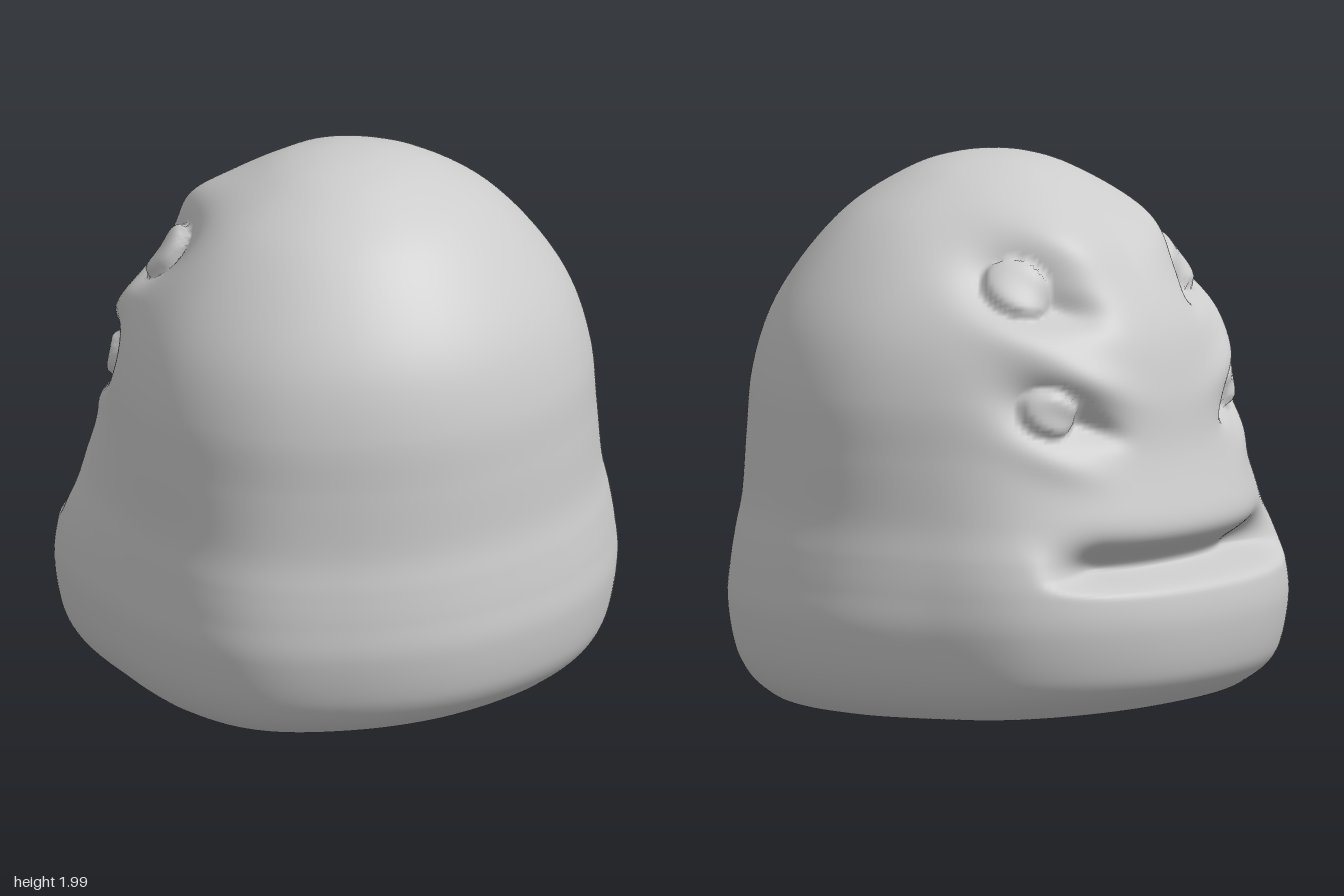
import * as THREE from 'three';

const AXIS_Z = 0.08; // vertical axis through the top of the dome

// Two ring outlines: radii every 22.5 degrees from the front (+z) to the face (-z)
const SKULL = [0.85, 0.86, 0.88, 0.91, 0.91, 0.88, 0.87, 0.88, 0.86];
const JAW = [0.92, 0.938, 0.97, 1.015, 0.985, 0.98, 1.07, 1.09, 1.08];

// Profile from base to crown: height, ring size, blend from skull to jaw outline
const PROFILE = [
  [0.035, 0, 1], [0.02, 0.4, 1], [0.01, 0.75, 1], [0.06, 0.885, 1], [0.18, 0.965, 1], [0.36, 1, 1],
  [0.5, 0.99, 1], [0.62, 0.985, 0.85], [0.76, 0.985, 0.55], [0.98, 1.01, 0.12], [1.2, 1, 0],
  [1.42, 0.925, 0], [1.62, 0.785, 0], [1.8, 0.595, 0], [1.93, 0.36, 0], [1.985, 0.18, 0], [2, 0, 0],
];

// Eyes: angle away from the face's centre line, height, size
const EYES = [
  { phi: 0.76, y: 1.61, size: 1.1 },
  { phi: 0.65, y: 1.16, size: 0.95 },
];

const { smoothstep, lerp } = THREE.MathUtils;
const bell = (d, w) => Math.exp(-(d * d) / (w * w));

// Smooth curve through values, at(j) giving the value at whole number j
function spline(at, s, last) {
  const i = Math.min(Math.floor(s), last - 1);
  const t = s - i;
  const a = at(i - 1), b = at(i), c = at(i + 1), d = at(i + 2);
  return 0.5 * (2 * b + (c - a) * t + (2 * a - 5 * b + 4 * c - d) * t * t + (3 * b - a - 3 * c + d) * t * t * t);
}

// One profile column; past a pole the ring size changes sign
function profile(k, s) {
  const n = PROFILE.length - 1;
  return spline((j) => {
    if (j < 0) return k === 1 ? -PROFILE[1][k] : PROFILE[1][k];
    if (j > n) return k === 1 ? -PROFILE[n - 1][k] : PROFILE[n - 1][k];
    return PROFILE[j][k];
  }, s, n);
}

// Radius around an outline, mirrored left and right
function outline(radii, angle) {
  return spline((j) => radii[j < 0 ? -j : j > 8 ? 16 - j : j], (angle / Math.PI) * 8, 8);
}

// Socket, eyeball, scowling brow and inner crease
function eyeRelief(phi, y, r) {
  let h = 0;
  for (const eye of EYES) {
    const a = ((eye.phi - phi) * r) / eye.size; // positive towards the centre
    const b = ((y - eye.y) * 1.1) / eye.size;
    const u = a * 0.92 - b * 0.39;
    const w = a * 0.39 + b * 0.92;
    h -= 0.085 * bell(u - 0.02, 0.2) * bell(w, 0.12);
    h -= 0.045 * bell(u - 0.2, 0.11) * bell(w, 0.045);
    h += 0.035 * bell(u - 0.1, 0.2) * bell(w - 0.17, 0.08);
    h += 0.02 * bell(u - 0.08, 0.18) * bell(w + 0.17, 0.08);
    const e = (u / 0.125) ** 2 + (w / 0.095) ** 2;
    if (e < 1) h += 0.085 * Math.sqrt(1 - e);
  }
  return h;
}

// Mouth slit: steep over the lower lip, sloping back under the upper lip
function mouthCut(x, y) {
  const d = y - 0.565 - 0.02 * x * x;
  const mask = 1 - smoothstep(Math.abs(x), 0.45, 0.72);
  return 0.21 * mask * bell(d, d > 0 ? 0.095 : 0.03);
}

function headGeometry(around = 256, rows = 208) {
  const pos = [];
  const index = [];
  for (let j = 0; j <= rows; j++) {
    const s = (j / rows) * (PROFILE.length - 1);
    const y0 = profile(0, s);
    const size = Math.max(0, profile(1, s));
    const jaw = profile(2, s);
    for (let i = 0; i < around; i++) {
      const th = (i / around) * Math.PI * 2;
      const angle = Math.min(th, 2 * Math.PI - th);
      let r = size * lerp(outline(SKULL, angle), outline(JAW, angle), jaw);
      let y = y0;
      // face relief
      if (angle > Math.PI / 2 && y0 > 0.3 && y0 < 1.95) {
        const h = eyeRelief(Math.PI - angle, y0, r);
        const tilt = Math.max(0, y0 - 1.15);
        const len = Math.hypot(r, tilt);
        const cut = mouthCut(r * Math.sin(angle), y0);
        y += (h * tilt) / len;
        r += (h * r) / len - cut;
      }
      // underside curls up slightly towards the front and back
      const z = r * Math.cos(th);
      y += 0.045 * z * z * (1 - smoothstep(y0, 0.02, 0.2));
      pos.push(r * Math.sin(th), y, z + AXIS_Z);
    }
  }
  for (let j = 0; j < rows; j++) {
    for (let i = 0; i < around; i++) {
      const a = j * around + i;
      const b = j * around + ((i + 1) % around);
      const c = a + around, d = b + around;
      if (j > 0) index.push(a, b, d);
      if (j < rows - 1) index.push(a, d, c);
      else index.push(a, b, c);
    }
  }
  // the first ring of faces closes the base
  for (let i = 0; i < around; i++) index.push(i, around + ((i + 1) % around), around + i);

  const g = new THREE.BufferGeometry();
  g.setAttribute('position', new THREE.Float32BufferAttribute(pos, 3));
  g.setIndex(index.filter((_, n) => n >= 0));
  g.computeVertexNormals();
  // every vertex at a pole shares one normal
  for (let i = 0; i < around; i++) {
    g.attributes.normal.setXYZ(i, 0, -1, 0);
    g.attributes.normal.setXYZ(rows * around + i, 0, 1, 0);
  }
  return g;
}

export function createModel() {
  const group = new THREE.Group();
  group.name = 'fourEyedHead';
  const head = new THREE.Mesh(headGeometry(), new THREE.MeshStandardMaterial({ color: 0xcccccc }));
  head.name = 'head';
  group.add(head);
  return group;
}
